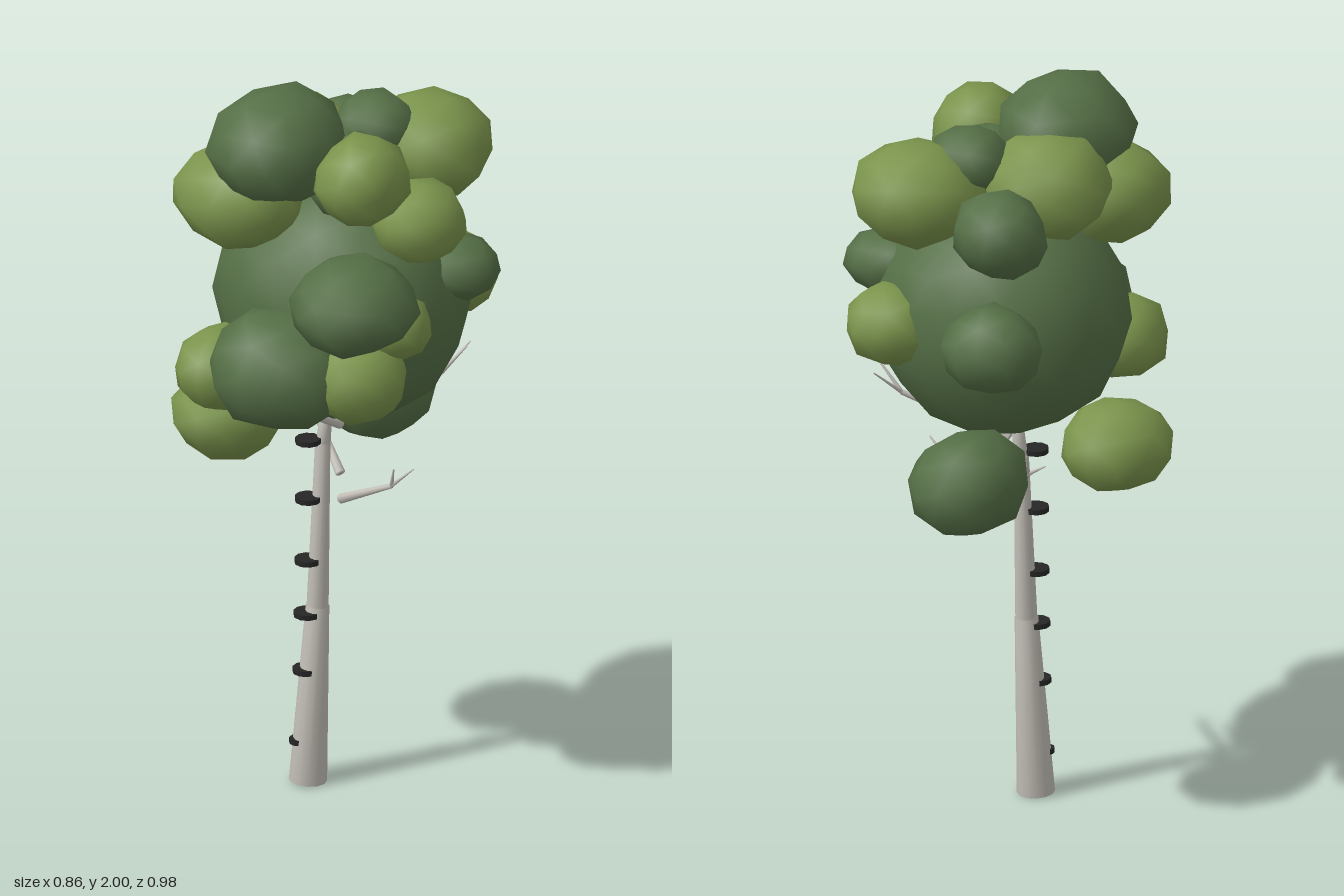
import * as THREE from 'three';
import { mergeVertices } from 'three/addons/utils/BufferGeometryUtils.js';

const mat = (name, color) => {
  const m = new THREE.MeshStandardMaterial({ color });
  m.name = name;
  return m;
};

// Small seeded generator for the lumpy foliage
function makeRandom(seed) {
  let s = seed;
  return () => (s = (s * 16807) % 2147483647) / 2147483647;
}

// Share vertices so that normals blend across every edge
function weld(geo) {
  geo.deleteAttribute('normal');
  geo.deleteAttribute('uv');
  const welded = mergeVertices(geo, 1e-4);
  welded.computeVertexNormals();
  return welded;
}

// Lumpy, smooth-shaded ellipsoid with an angular outline
function clumpGeometry(detail, radii, random, lump) {
  const geo = weld(new THREE.IcosahedronGeometry(1, detail));
  geo.rotateY(random() * 6.28);
  geo.rotateX(random() * 6.28);
  const p = geo.attributes.position;
  for (let i = 0; i < p.count; i++) {
    const k = 1.03 + (random() - 0.5) * lump;
    p.setXYZ(i, p.getX(i) * k * radii[0], p.getY(i) * k * radii[1], p.getZ(i) * k * radii[2]);
  }
  geo.computeVertexNormals();
  return geo;
}

// Tapered limb between two points
function limb(name, a, b, r0, r1, sides, material) {
  const from = new THREE.Vector3(...a), to = new THREE.Vector3(...b);
  const dir = to.clone().sub(from);
  const mesh = new THREE.Mesh(weld(new THREE.CylinderGeometry(r1, r0, dir.length(), sides)), material);
  mesh.position.copy(from).add(to).multiplyScalar(0.5);
  mesh.quaternion.setFromUnitVectors(new THREE.Vector3(0, 1, 0), dir.normalize());
  mesh.name = name;
  return mesh;
}

export function createModel() {
  const tree = new THREE.Group();
  tree.name = 'tree';
  const bark = mat('pale bark', 0xc4c0b8);
  const mark = mat('dark bark mark', 0x262626);
  const dark = mat('dark leaves', 0x556f46);
  const light = mat('light leaves', 0x7b944c);
  const random = makeRandom(4711);

  // Trunk in three slightly bent sections
  tree.add(limb('lowerTrunk', [-0.05, 0.005, 0.055], [-0.03, 0.5, 0.04], 0.05, 0.031, 12, bark));
  tree.add(limb('upperTrunk', [-0.03, 0.49, 0.04], [-0.022, 0.96, 0.026], 0.029, 0.02, 12, bark));
  tree.add(limb('trunkTip', [-0.022, 0.95, 0.025], [-0.015, 1.04, 0.02], 0.02, 0.016, 10, bark));

  // Bark marks: thin discs sunk into one side of the trunk
  const marks = [
    [-0.068, 0.12, 0.073, 0.025], [-0.053, 0.32, 0.062, 0.035], [-0.05, 0.48, 0.06, 0.036],
    [-0.05, 0.63, 0.057, 0.035], [-0.05, 0.805, 0.055, 0.035], [-0.05, 0.97, 0.055, 0.034],
  ];
  for (const [x, y, z, r] of marks) {
    const disc = new THREE.Mesh(new THREE.CylinderGeometry(r, r, 0.014, 10), mark);
    disc.position.set(x, y, z);
    disc.name = 'barkMark';
    tree.add(disc);
  }

  // Branches, each ending in a fork of twigs
  const branches = [
    [[0.01, 0.79, -0.015], [0.19, 0.885, 0.04], [[0.26, 0.95, 0.05], [0.21, 0.945, 0.065]]],
    [[0.005, 0.86, -0.02], [-0.11, 0.97, -0.1], [[-0.17, 1.01, -0.12], [-0.13, 1.04, -0.15]]],
    [[0.015, 1.01, 0.0], [-0.02, 1.11, 0.18], [[-0.04, 1.15, 0.26], [0.0, 1.17, 0.24]]],
    [[0.0, 1.02, -0.01], [0.24, 1.15, -0.145], [[0.31, 1.235, -0.15], [0.285, 1.22, -0.215]]],
  ];
  for (const [a, b, tips] of branches) {
    tree.add(limb('branch', a, b, 0.014, 0.007, 8, bark));
    for (const t of tips) tree.add(limb('twig', b, t, 0.006, 0.002, 6, bark));
  }

  // Crown core
  const core = new THREE.Mesh(clumpGeometry(2, [0.335, 0.325, 0.3], random, 0.06), dark);
  core.position.set(0.018, 1.38, -0.015);
  core.name = 'crownCore';
  tree.add(core);

  // Leaf clumps: centre, then radii
  const darkClumps = [
    [-0.085, 1.84, 0.155, 0.175, 0.155, 0.19],
    [0.06, 1.83, -0.11, 0.11, 0.09, 0.105],
    [0.085, 1.74, 0.05, 0.12, 0.12, 0.125],
    [-0.105, 1.7, -0.25, 0.125, 0.115, 0.115],
    [-0.145, 1.425, -0.365, 0.135, 0.115, 0.125],
    [-0.035, 1.0, -0.29, 0.15, 0.135, 0.175],
    [0.302, 1.49, -0.085, 0.125, 0.085, 0.115],
    [0.2, 1.485, 0.265, 0.165, 0.125, 0.18],
    [0.01, 1.285, 0.31, 0.195, 0.155, 0.182],
  ];
  const lightClumps = [
    [-0.185, 1.69, 0.175, 0.17, 0.135, 0.165],
    [-0.115, 1.755, -0.01, 0.175, 0.145, 0.17],
    [0.17, 1.795, 0.16, 0.12, 0.12, 0.135],
    [0.157, 1.755, -0.215, 0.175, 0.138, 0.168],
    [0.265, 1.65, 0.03, 0.127, 0.11, 0.127],
    [0.212, 1.39, -0.255, 0.118, 0.105, 0.12],
    [0.28, 1.41, 0.18, 0.095, 0.085, 0.095],
    [0.21, 1.275, 0.253, 0.125, 0.115, 0.13],
    [-0.185, 1.235, 0.28, 0.12, 0.11, 0.135],
    [-0.275, 1.02, 0.08, 0.145, 0.12, 0.16],
  ];
  const addClumps = (list, material, name) => {
    for (const [x, y, z, ...radii] of list) {
      const clump = new THREE.Mesh(clumpGeometry(1, radii, random, 0.12), material);
      clump.position.set(x, y, z);
      clump.name = name;
      tree.add(clump);
    }
  };
  addClumps(darkClumps, dark, 'darkLeafClump');
  addClumps(lightClumps, light, 'lightLeafClump');
  return tree;
}
